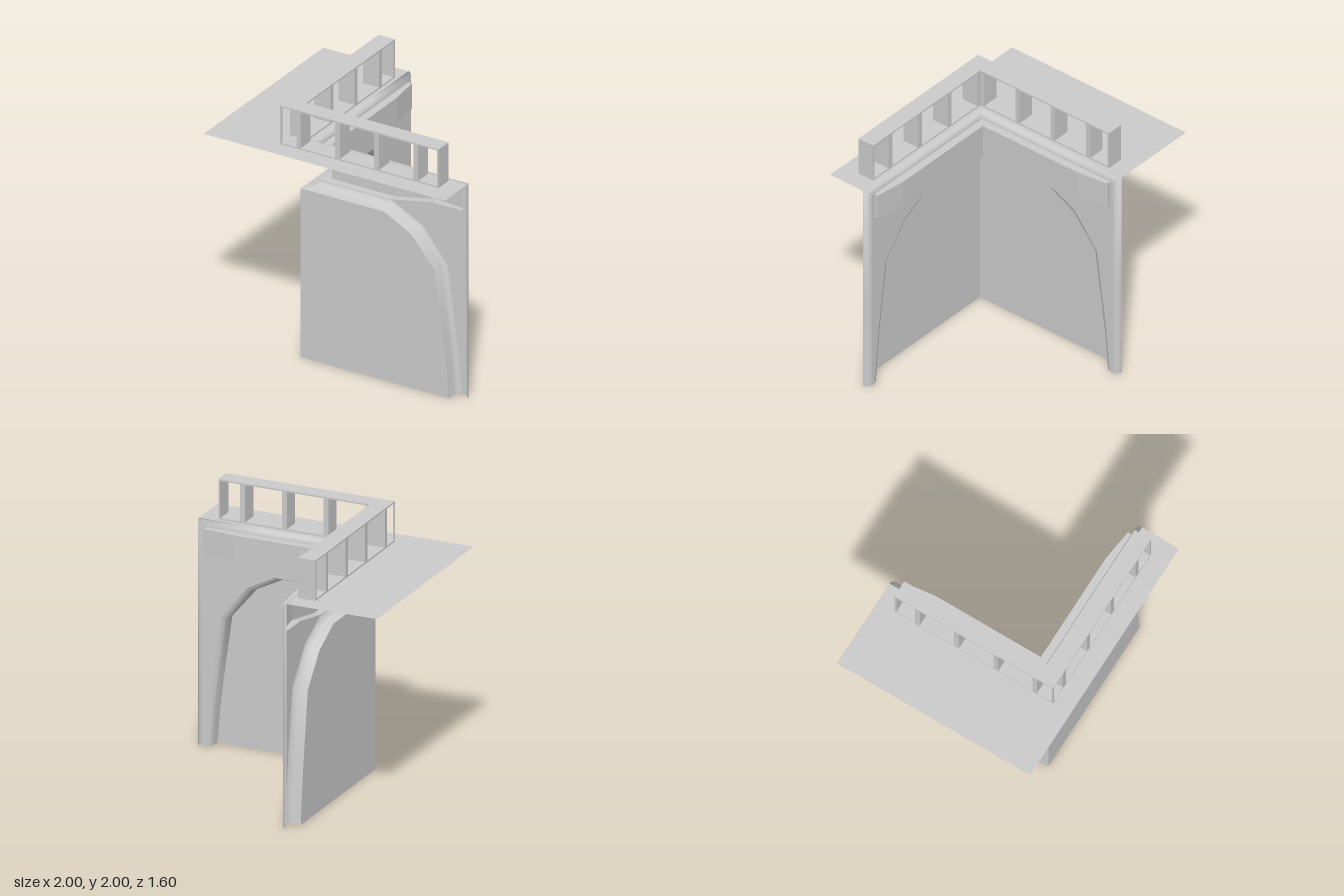
import * as THREE from 'three';

const mat = new THREE.MeshStandardMaterial({ color: 0xcccccc, side: THREE.DoubleSide });
const DECK_Y = 1.695, R = 0.045, FACE_Z = 0.45, PANEL_Z = 0.55;
const mitre = z => 0.2 - z; // both wings meet on this diagonal

function add(group, name, geometry) {
  const mesh = new THREE.Mesh(geometry, mat);
  mesh.name = name;
  group.add(mesh);
  return mesh;
}

// Skin over a list of rings with equal point counts
function loft(rings, flat = false) {
  const n = rings[0].length, index = [];
  for (let j = 0; j < rings.length - 1; j++) {
    for (let i = 0; i < n - 1; i++) {
      const a = j * n + i, b = a + 1, c = a + n, d = c + 1;
      index.push(a, c, b, b, c, d);
    }
  }
  let geo = new THREE.BufferGeometry();
  geo.setAttribute('position', new THREE.Float32BufferAttribute(rings.flat(2), 3));
  geo.setIndex(index);
  if (flat) geo = geo.toNonIndexed();
  geo.computeVertexNormals();
  return geo;
}

const shapeOf = pts => new THREE.Shape(pts.map(p => new THREE.Vector2(p[0], p[1])));

// Arch outline from the inner corner to the ground, with outward directions
const ARCH = [[0, 1.33], [0.34, 1.33], [0.57, 1.21], [0.765, 0.975], [0.83, 0.5], [0.86, 0.25], [0.88, 0]];
const OUT = [[0, 1], [0.25, 1], [0.65, 0.85], [0.95, 0.35], [1, 0.1], [1, 0.08], [1, 0]];

function archRing(offset, z) {
  return ARCH.map(([x, y], i) => [
    i === 0 ? mitre(z) : x + OUT[i][0] * offset, y + OUT[i][1] * offset, z]);
}

// Outer edge of the wall face, rounding back over angle a towards deck and end
function edgeRing(a) {
  const z = FACE_Z + R * (1 - Math.cos(a)), o = R * Math.sin(a);
  const x = 1 - R + o, y = DECK_Y - R + o;
  return [[mitre(z), y, z], [0.5, y, z], [x, y, z], [x, 0.8, z], [x, 0, z]];
}

function buildWing() {
  const wing = new THREE.Group();

  // Recessed panel filling the arch
  const panelPts = archRing(0, PANEL_Z);
  const panel = shapeOf([[mitre(PANEL_Z), 0], ...panelPts.slice().reverse()]
    .filter((p, i, all) => i === 0 || p !== all[i - 1]));
  add(wing, 'archPanel', new THREE.ShapeGeometry(panel)).position.z = PANEL_Z;

  // Reveal around the arch, easing into the wall face
  add(wing, 'archReveal', loft([
    archRing(0, PANEL_Z), archRing(0.008, 0.485), archRing(0.02, 0.462), archRing(0.045, FACE_Z),
  ]));

  // Flat wall face, left open behind the frieze
  const corner = mitre(FACE_Z);
  const face = shapeOf([
    [corner, 1.38], ...archRing(0.045, FACE_Z),
    [1 - R, 0], [1 - R, DECK_Y - R], [corner, DECK_Y - R], [corner, 1.65],
    [0.93, 1.65], [0.93, 1.45], [0.68, 1.45], [0.33, 1.38],
  ]);
  const faceGeo = new THREE.ShapeGeometry(face);
  faceGeo.rotateY(Math.PI).scale(-1, 1, 1);
  // the mirrored turn leaves corners reversed, so swap them to face outward
  const idx = faceGeo.index.array;
  for (let i = 0; i < idx.length; i += 3) [idx[i], idx[i + 1]] = [idx[i + 1], idx[i]];
  faceGeo.computeVertexNormals();
  add(wing, 'wallFace', faceGeo).position.z = FACE_Z;

  // Rounded edge along the deck and down the free end
  const rings = [];
  for (let k = 0; k <= 6; k++) rings.push(edgeRing(k / 6 * Math.PI / 2));
  add(wing, 'roundedEdge', loft(rings));

  // Projecting frieze: bottom, front, top and a tapered closed end
  const column = (x, bottom, z) => {
    const back = x ?? mitre(FACE_Z), front = x ?? mitre(z);
    return [[back, 1.65, FACE_Z], [front, 1.65, z], [front, bottom, z], [back, bottom, FACE_Z]];
  };
  add(wing, 'frieze', loft([
    column(null, 1.38, 0.39), column(0.33, 1.38, 0.39), column(0.68, 1.45, 0.39),
    column(0.93, 1.45, 0.42), column(0.93, 1.45, FACE_Z),
  ], true));

  // Railing posts
  for (const [x0, x1] of [[-0.32, -0.285], [0, 0.04], [0.325, 0.365], [0.65, 0.69], [0.845, 0.86]]) {
    const post = add(wing, 'railingPost', new THREE.BoxGeometry(x1 - x0, 2 - DECK_Y - 0.02, 0.135));
    post.position.set((x0 + x1) / 2, (2 + DECK_Y) / 2, 0.5875);
  }
  return wing;
}

export function createModel() {
  const model = new THREE.Group();
  model.name = 'cornerBridge';

  // Two wings, the second mirrored across the corner diagonal
  const frontWing = buildWing();
  frontWing.name = 'frontWing';
  const sideWing = buildWing();
  sideWing.name = 'sideWing';
  sideWing.scale.x = -1;
  sideWing.rotation.y = -Math.PI / 2;
  sideWing.position.set(0.2, 0, 0.2);
  model.add(frontWing, sideWing);

  // Thin L-shaped deck (shape y is -z)
  const inner = FACE_Z + R;
  const deck = shapeOf([[-1, -0.8], [1, -0.8], [1, -inner], [mitre(inner), -inner], [mitre(inner), 0.8], [-1, 0.8]]);
  add(model, 'deck', new THREE.ShapeGeometry(deck).rotateX(-Math.PI / 2)).position.y = DECK_Y;

  // Railing plates, below and above the posts
  const plate = shapeOf([[-0.455, -0.655], [0.86, -0.655], [0.86, -0.52], [-0.32, -0.52], [-0.32, 0.66], [-0.455, 0.66]]);
  for (const [name, y] of [['railingBase', DECK_Y + 0.001], ['railingTop', 1.988]]) {
    const geo = new THREE.ExtrudeGeometry(plate, { depth: 0.012, bevelEnabled: false });
    add(model, name, geo.rotateX(-Math.PI / 2)).position.y = y;
  }

  // Slim post at the outer railing corner
  add(model, 'cornerPost', new THREE.BoxGeometry(0.012, 2 - DECK_Y - 0.02, 0.012))
    .position.set(-0.449, (2 + DECK_Y) / 2, 0.649);
  return model;
}
